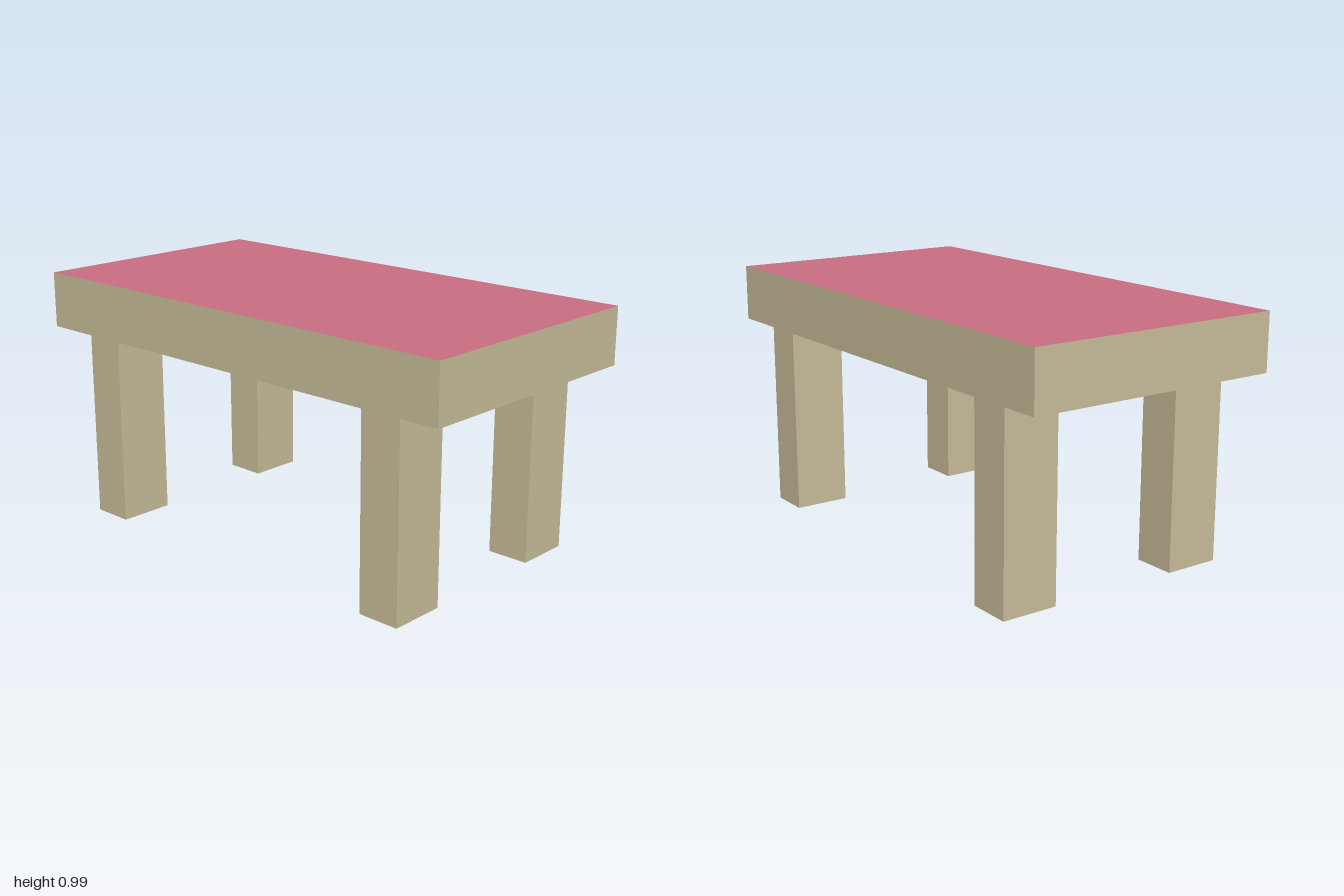
import * as THREE from 'three';

export function createModel() {
  const wood = new THREE.MeshStandardMaterial({ color: 0xcbc09c });
  wood.name = 'paleWood';
  const pink = new THREE.MeshStandardMaterial({ color: 0xca6e83 });
  pink.name = 'rosePink';

  const model = new THREE.Group();
  model.name = 'table';

  const underside = 0.765, height = 0.99;

  // Thick slab with a coloured upper face (box face order: +x, -x, +y, -y, +z, -z)
  const slab = new THREE.Mesh(
    new THREE.BoxGeometry(1.044, height - underside, 2),
    [wood, wood, pink, wood, wood, wood]
  );
  slab.name = 'tableTop';
  slab.position.y = (height + underside) / 2;
  model.add(slab);

  // Four rectangular legs
  const legGeometry = new THREE.BoxGeometry(0.226, underside, 0.17);
  for (const [zName, z] of [['front', 0.738], ['back', -0.72]]) {
    for (const [xName, x] of [['Left', 0.38], ['Right', -0.384]]) {
      const leg = new THREE.Mesh(legGeometry, wood);
      leg.name = `${zName}${xName}Leg`;
      leg.position.set(x, underside / 2, z);
      model.add(leg);
    }
  }
  return model;
}
